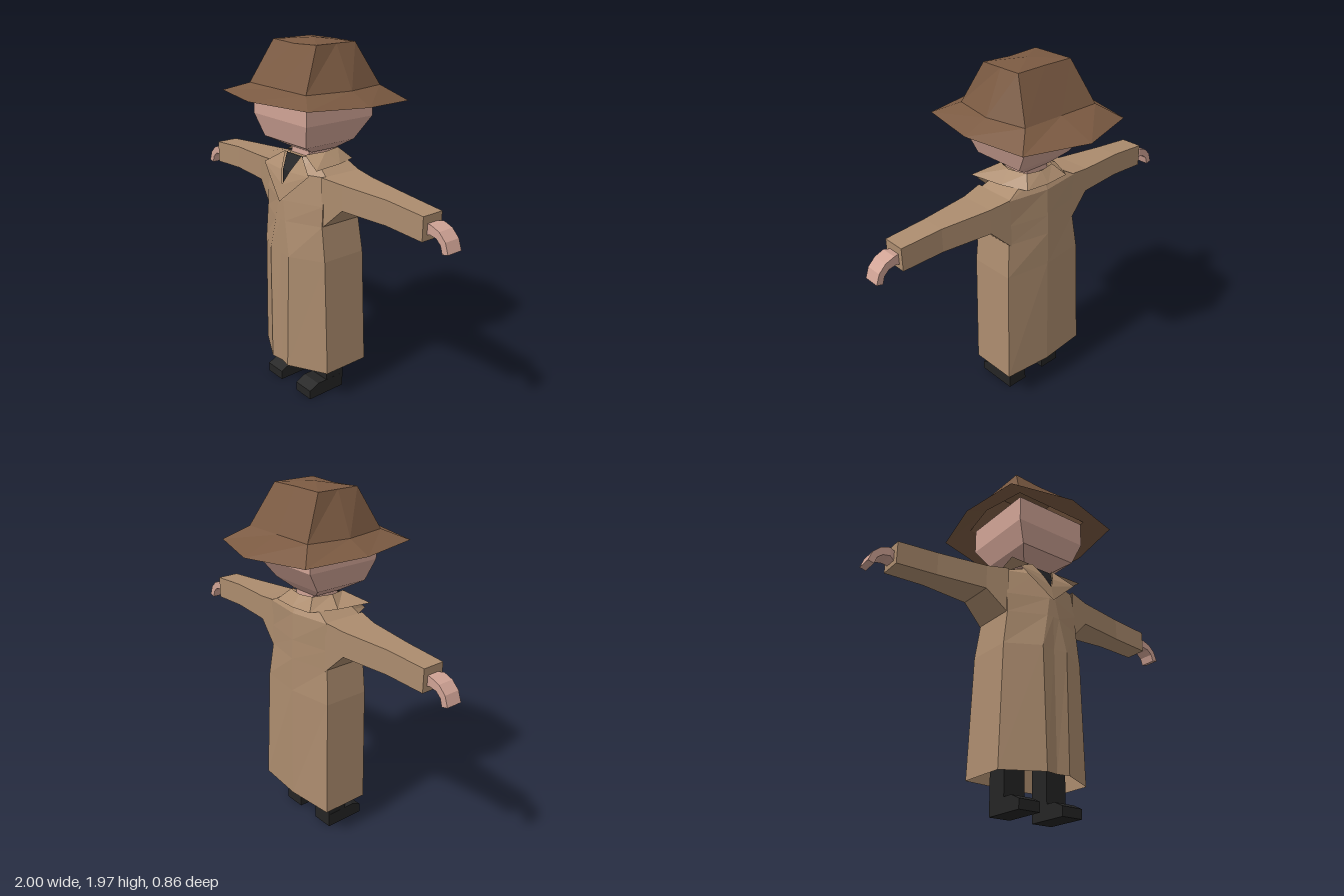
import * as THREE from 'three';

const mat = (name, color, side = THREE.FrontSide) =>
  Object.assign(new THREE.MeshStandardMaterial({ color, side, flatShading: true }), { name });

// Triangle list to a flat-faced geometry
function facets(tris) {
  const g = new THREE.BufferGeometry();
  g.setAttribute('position', new THREE.Float32BufferAttribute(tris.flat(2), 3));
  g.computeVertexNormals();
  return g;
}

// Skin between rings of equal point count, with optional end caps
function loft(rings, { start = true, end = true, closed = true, lift = 0 } = {}) {
  const tris = [], n = rings[0].length;
  for (let r = 0; r < rings.length - 1; r++) {
    const a = rings[r], b = rings[r + 1];
    for (let i = 0; i < (closed ? n : n - 1); i++) {
      const j = (i + 1) % n;
      tris.push([a[i], a[j], b[j]], [a[i], b[j], b[i]]);
    }
  }
  const cap = (ring, flip, up) => {
    const c = [0, 1, 2].map(k => ring.reduce((s, p) => s + p[k], 0) / n);
    c[1] += up;
    ring.forEach((p, i) => {
      const q = ring[(i + 1) % n];
      tris.push(flip ? [c, q, p] : [c, p, q]);
    });
  };
  if (start) cap(rings[0], true, 0);
  if (end) cap(rings[rings.length - 1], false, lift);
  return facets(tris);
}

// Mirror a ring to the other side, keeping its faces outward
const mirrorRing = (ring, s) => s > 0 ? ring : ring.map(([x, y, z]) => [-x, y, z]).reverse();
// Complete a half outline that starts and ends on x = 0
const whole = half => [...half, ...half.slice(1, -1).reverse().map(([x, y, z]) => [-x, y, z])];
// Four-cornered horizontal ring
const rect = (y, w, back, front) => [[-w, y, front], [w, y, front], [w, y, back], [-w, y, back]];
// Four-cornered ring across the x axis
const sleeveRing = (x, lo, hi, back, front) => [[x, lo, back], [x, hi, back], [x, hi, front], [x, lo, front]];

export function createModel() {
  const model = new THREE.Group();
  const coat = mat('coat tan', 0xac8c6e, THREE.DoubleSide);
  const hat = mat('hat brown', 0x7b5a42, THREE.DoubleSide);
  const skin = mat('skin', 0xd0a395);
  const black = mat('boot black', 0x242424);
  const shirt = mat('shirt black', 0x1f1f22, THREE.DoubleSide);
  const add = (name, geometry, material) => {
    const m = new THREE.Mesh(geometry, material);
    m.name = name;
    model.add(m);
  };

  // Long coat: y, half width, flap edge x, front z, side front z, side back z, back z, recess
  const coatRings = [
    [0.185, 0.28, 0.07, 0.26, 0.145, -0.13, -0.155, 0.012],
    [0.85, 0.26, 0.08, 0.25, 0.15, -0.115, -0.15, 0.008],
    [1.04, 0.237, 0.04, 0.24, 0.15, -0.1, -0.148, 0],
    [1.15, 0.237, 0.02, 0.235, 0.145, -0.1, -0.145, 0],
    [1.3, 0.237, 0.08, 0.185, 0.12, -0.105, -0.14, 0],
    [1.375, 0.1, 0.05, 0.13, 0.09, -0.08, -0.1, 0],
  ].map(([y, w, e, f, sf, sb, b, d]) =>
    whole([[0, y, f - d], [e, y, f], [w, y, sf], [w, y, sb], [0, y, b]]));
  add('coat', loft(coatRings, { start: false }), coat);

  // Shirt in the neck opening
  const sh = [[-0.07, 1.378, 0.138], [-0.035, 1.3, 0.192], [0, 1.22, 0.221], [0.035, 1.3, 0.192], [0.07, 1.378, 0.138]];
  add('shirt', facets([[sh[0], sh[1], sh[4]], [sh[1], sh[3], sh[4]], [sh[1], sh[2], sh[3]]]), shirt);

  // Turned-down collar, from the fold to the outer edge
  const across = half => [...half.slice(1).reverse().map(([x, y, z]) => [-x, y, z]), ...half];
  const collarTop = across([[0, 1.395, -0.095], [0.09, 1.4, -0.08], [0.12, 1.4, 0.03], [0.08, 1.39, 0.135]]);
  const collarEdge = across([[0, 1.335, -0.145], [0.14, 1.34, -0.138], [0.2, 1.345, 0], [0.24, 1.35, 0.19]]);
  add('collar', loft([collarTop, collarEdge], { start: false, end: false, closed: false }), coat);

  for (const s of [1, -1]) {
    const side = s > 0 ? 'left' : 'right';

    // Lapel, a fan from its outer corner
    const l = mirrorRing([[0.19, 1.31, 0.2], [0.07, 1.388, 0.148], [0.032, 1.3, 0.202],
      [0, 1.23, 0.228], [0, 1.14, 0.246]], s);
    const c = s > 0 ? 0 : 4;
    add(side + 'Lapel', facets([1, 2, 3].map(i => [l[c], l[(c + i) % 5], l[(c + i + 1) % 5]])), coat);

    // Sleeve with widened armpit
    const sleeve = [
      sleeveRing(0.225, 1.03, 1.305, -0.105, 0.145),
      sleeveRing(0.35, 1.153, 1.29, -0.092, 0.115),
      sleeveRing(0.63, 1.15, 1.279, -0.06, 0.08),
      sleeveRing(0.86, 1.137, 1.262, -0.052, 0.075),
    ];
    // Mirrored sections keep their winding when the ring is reversed
    add(side + 'Sleeve', loft(sleeve.map(r => mirrorRing(r, s)), { start: false }), coat);

    // Curved mitten hand: outer x, y, inner x, y, back z, front z
    const hand = [
      [0.85, 1.22, 0.85, 1.16, -0.02, 0.04],
      [0.89, 1.225, 0.885, 1.178, -0.036, 0.055],
      [0.94, 1.207, 0.925, 1.17, -0.036, 0.055],
      [0.98, 1.168, 0.953, 1.145, -0.036, 0.055],
      [1.0, 1.113, 0.966, 1.105, -0.036, 0.055],
    ].map(([ox, oy, ix, iy, b, f]) => [[ix, iy, b], [ox, oy, b], [ox, oy, f], [ix, iy, f]]);
    add(side + 'Hand', loft(hand.map(r => mirrorRing(r, s))), skin);

    // Leg and shoe
    const leg = new THREE.BoxGeometry(0.125, 0.4, 0.12);
    leg.translate(s * 0.133, 0.27, 0.02);
    add(side + 'Leg', leg, black);
    const shoe = [0.07, 0.196].map(x =>
      [[x, 0, -0.04], [x, 0.08, -0.04], [x, 0.08, 0.14], [x, 0.052, 0.2], [x, 0, 0.2]]);
    add(side + 'Shoe', loft(shoe.map(r => mirrorRing(r, s))), black);
  }

  // Neck and faceted head
  add('neck', loft([rect(1.33, 0.075, -0.06, 0.11), rect(1.43, 0.07, -0.06, 0.1)]), skin);
  add('head', loft([
    rect(1.4, 0.09, -0.06, 0.1), rect(1.455, 0.175, -0.115, 0.205),
    rect(1.575, 0.222, -0.2, 0.238), rect(1.72, 0.222, -0.2, 0.238),
  ]), skin);

  // Hat: sloping brim, crown and peaked top
  const brim = whole([[0, 1.692, 0.424], [0.36, 1.688, 0.34], [0.418, 1.674, 0], [0.35, 1.657, -0.33], [0, 1.652, -0.432]]);
  const crown = whole([[0, 1.735, 0.25], [0.235, 1.735, 0.25], [0.283, 1.735, 0], [0.24, 1.735, -0.23], [0, 1.735, -0.23]]);
  const top = whole([[0, 1.947, 0.137], [0.175, 1.955, 0.137], [0.175, 1.955, 0.01], [0.175, 1.955, -0.113], [0, 1.957, -0.113]]);
  add('hatBrim', loft([brim, crown], { start: false, end: false }), hat);
  add('hatCrown', loft([crown, top], { start: false, lift: 0.016 }), hat);

  return model;
}
